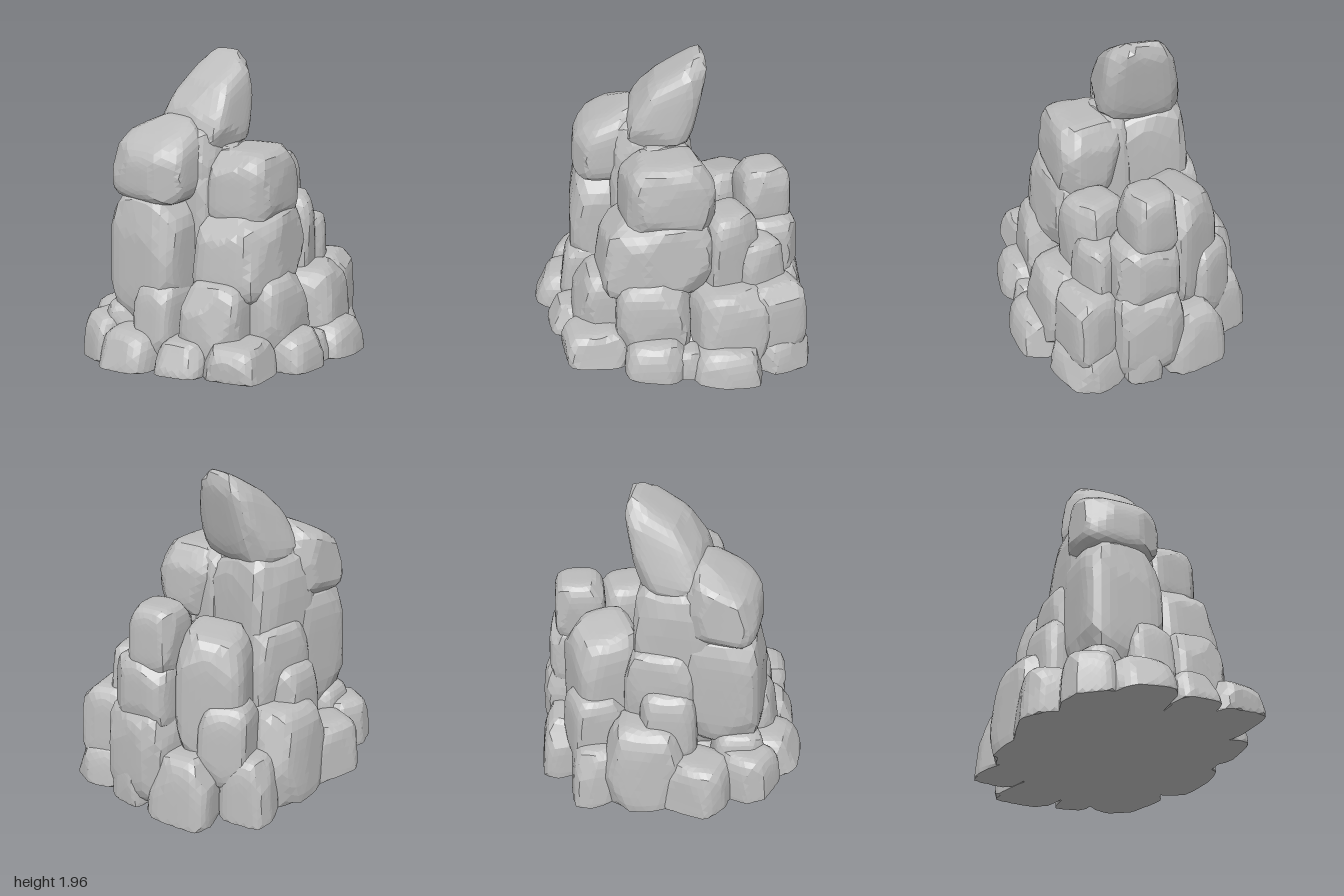
import * as THREE from 'three';

const stone = new THREE.MeshStandardMaterial({ color: 0xbcbcbc, flatShading: true });
stone.name = 'grey stone';

// Small seeded random generator
function seeded(seed) {
  let s = seed * 7919 + 13;
  return () => {
    s = (s * 16807) % 2147483647;
    return s / 2147483647;
  };
}

// Tilted plane on which the whole pile is cut off
const ground = (x, z) => 0.139 + 0.088 * x + 0.125 * z;

// A chiselled boulder filling the box x0..x1, y0..y1, z0..z1.
// taper / taperX narrow the top, leanX / leanZ shift it, slopeX / slopeZ tilt its
// top face, turn rotates its corners within the box.
function rock(name, seed, [x0, x1, y0, y1, z0, z1], opts = {}) {
  const { taper = 0.1, taperX = taper, leanX = 0, leanZ = 0, slopeX = 0, slopeZ = 0, square = 4.5, turn = 0 } = opts;
  const rand = seeded(seed);
  for (let i = 0; i < 5; i++) rand();
  const geo = new THREE.IcosahedronGeometry(1, 6);
  const pos = geo.attributes.position;
  const v = new THREE.Vector3();

  // Random cutting planes
  const cuts = [];
  for (let i = 0; i < 16; i++) {
    const n = new THREE.Vector3(rand() * 2 - 1, rand() * 1.1 - 0.55, rand() * 2 - 1).normalize();
    const q = square / (square - 1);
    const reach = (Math.abs(n.x) ** q + Math.abs(n.y) ** q + Math.abs(n.z) ** q) ** (1 / q);
    n.applyAxisAngle(THREE.Object3D.DEFAULT_UP, turn);
    cuts.push({ n, d: reach * (0.87 + rand() * 0.1) });
  }

  // Rounded block, then chisel it
  for (let i = 0; i < pos.count; i++) {
    v.fromBufferAttribute(pos, i);
    const r = (Math.abs(v.x) ** square + Math.abs(v.y) ** square + Math.abs(v.z) ** square) ** (1 / square);
    v.divideScalar(r);
    v.applyAxisAngle(THREE.Object3D.DEFAULT_UP, turn);
    for (const { n, d } of cuts) {
      const h = v.dot(n);
      if (h > d) v.multiplyScalar(d / h);
    }
    pos.setXYZ(i, v.x, v.y, v.z);
  }

  // Fit to the box and shape the top; below the ground fold inwards onto the cut
  geo.computeBoundingBox();
  const size = geo.boundingBox.getSize(new THREE.Vector3());
  const mid = geo.boundingBox.getCenter(new THREE.Vector3());
  const cx = (x0 + x1) / 2;
  const cz = (z0 + z1) / 2;
  for (let i = 0; i < pos.count; i++) {
    v.fromBufferAttribute(pos, i).sub(mid).divide(size).multiplyScalar(2);
    const t = (v.y + 1) / 2;
    let x = cx + (v.x * (1 - taperX * t) * (x1 - x0)) / 2 + leanX * t;
    let z = cz + (v.z * (1 - taper * t) * (z1 - z0)) / 2 + leanZ * t;
    const y = y0 + (y1 - y0) * t + (slopeX * v.x + slopeZ * v.z) * t;
    const fold = Math.max(0.1, 1 - 1.3 * Math.max(0, ground(x, z) - y));
    x = cx + (x - cx) * fold;
    z = cz + (z - cz) * fold;
    pos.setXYZ(i, x, Math.max(y, ground(x, z)), z);
  }
  geo.computeVertexNormals();
  const mesh = new THREE.Mesh(geo, stone);
  mesh.name = name;
  return mesh;
}

// Tall pinnacle and the columns beneath it
const pinnacle = [
  ['peak', [-0.42, 0.13, 1.39, 1.89, -0.12, 0.31],
    { taper: 0, taperX: 0.36, leanX: 0.04, leanZ: -0.13, slopeZ: -0.13, square: 4.5 }],
  ['frontColumnTop', [-0.47, 0.04, 1.15, 1.58, 0.14, 0.58], { taper: 0.08, slopeZ: -0.1, square: 3.8 }],
  ['frontColumn', [-0.46, 0.03, 0.42, 1.23, 0.12, 0.62], { taper: 0.03, leanZ: -0.02, square: 5 }],
  ['rearColumn', [-0.45, 0.12, 0.3, 1.5, -0.16, 0.36], { taper: 0.05, square: 6 }],
  ['rearColumnCap', [-0.4, 0.1, 1.1, 1.58, -0.1, 0.35], {}],
  ['innerColumn', [-0.1, 0.2, 0.5, 1.47, -0.18, 0.25], {}],
];

// Stepped blocks on the model's left
const steps = [
  ['upperStep', [-0.02, 0.44, 1.0, 1.46, -0.27, 0.32], { taper: 0.1, turn: 0.2, leanX: -0.01 }],
  ['middleStep', [-0.02, 0.51, 0.6, 1.12, -0.24, 0.48], { taper: 0.12, leanX: -0.01, leanZ: -0.04, turn: 0.15 }],
  ['lowerStepFront', [0.02, 0.44, 0.25, 0.75, 0.15, 0.63], { leanZ: -0.03, turn: 0.15 }],
  ['lowerStepSide', [0.15, 0.6, 0.25, 0.77, -0.12, 0.35], { leanX: -0.03 }],
  ['lowerStepRear', [0.22, 0.64, 0.15, 0.68, -0.6, -0.08], { leanX: -0.04, turn: 0.3 }],
  ['frontShoulder', [-0.24, 0.06, 0.25, 0.72, 0.35, 0.7], { leanZ: -0.04, taper: 0.14 }],
  ['frontCornerShoulder', [-0.52, -0.18, 0.2, 0.54, 0.3, 0.68], { taper: 0.2, turn: 0.3 }],
];

// Blocks stacked at the back and on the model's right
const rear = [
  ['rearBlockTall', [-0.53, -0.03, 0.3, 1.11, -0.62, -0.08], { slopeX: 0.05, taper: 0.08, turn: 0.6, square: 5 }],
  ['rearBlockTop', [-0.21, 0.13, 0.85, 1.26, -0.74, -0.38], { taper: 0.1, turn: 0.3 }],
  ['rearBlockMiddle', [-0.22, 0.22, 0.5, 0.96, -0.79, -0.36], { turn: 0.2 }],
  ['rearBlockLow', [-0.24, 0.24, 0.05, 0.67, -0.83, -0.36], { taper: 0.06, turn: 0.1 }],
  ['rearBlockSide', [0.0, 0.43, 0.5, 1.11, -0.54, -0.12], { taper: 0.12, turn: 0.5 }],
  ['rearSideLow', [0.12, 0.53, 0.15, 0.67, -0.83, -0.35], { taper: 0.12, turn: 0.4 }],
  ['rearSideMiddle', [0.08, 0.4, 0.45, 0.92, -0.7, -0.3], { taper: 0.15, turn: 0.5 }],
  ['rightShoulder', [-0.61, -0.2, 0.25, 0.84, -0.12, 0.27], { taper: 0.12, turn: 0.15 }],
  ['rightUpperShoulder', [-0.51, -0.2, 0.5, 1.08, -0.2, 0.25], { taper: 0.08 }],
  ['rightRearShoulder', [-0.62, -0.22, 0.2, 0.72, -0.6, -0.15], { taper: 0.15, turn: 0.6 }],
  ['rightLowBlock', [-0.76, -0.32, -0.05, 0.64, -0.31, 0.23], { taper: 0.14, leanX: 0.03, turn: 0.1, square: 4 }],
];

// Ring of boulders around the foot
const foot = [
  ['footFront', [-0.4, 0.01, -0.05, 0.44, 0.4, 0.9], { taper: 0.14, leanZ: -0.05, square: 3.8 }],
  ['footFrontRight', [-0.62, -0.26, -0.1, 0.46, 0.36, 0.79], { taper: 0.14, leanZ: -0.02, turn: -0.35 }],
  ['footRightFront', [-0.77, -0.38, -0.15, 0.44, 0.06, 0.52], { taper: 0.12, leanX: 0.02, turn: -0.2 }],
  ['footRightRear', [-0.76, -0.38, -0.2, 0.42, -0.53, -0.16], { taper: 0.15, leanX: 0.03, turn: 0.4 }],
  ['footRearRight', [-0.54, -0.04, -0.2, 0.42, -0.82, -0.38], { taper: 0.15, leanZ: 0.03, turn: 0.35 }],
  ['footRear', [0.06, 0.59, -0.15, 0.34, -0.9, -0.38], { taper: 0.18, leanZ: 0.03, turn: 0.5, square: 3.5 }],
  ['footRearLeft', [0.36, 0.78, -0.1, 0.38, -0.57, -0.04], { taper: 0.2, leanX: -0.03, turn: 0.25, square: 3.5 }],
  ['footLeft', [0.36, 0.76, -0.1, 0.43, -0.1, 0.31], { taper: 0.14, leanX: -0.03 }],
  ['footFrontLeft', [0.24, 0.66, -0.05, 0.45, 0.24, 0.69], { taper: 0.12, leanX: -0.02, turn: 0.2 }],
  ['footFrontMiddle', [-0.03, 0.31, -0.05, 0.43, 0.4, 0.8], { taper: 0.14, leanZ: -0.03, turn: 0.15 }],
  ['footRearPebble', [-0.1, 0.16, -0.1, 0.34, -0.84, -0.5], { taper: 0.15 }],
  ['footLeftPebble', [0.45, 0.68, -0.05, 0.36, -0.2, 0.05], { taper: 0.2 }],
  ['footCore', [-0.66, 0.64, -0.4, 0.48, -0.7, 0.68], { taper: 0.15, square: 2.6 }],
];

export function createModel() {
  const model = new THREE.Group();
  model.name = 'rockPile';
  let seed = 1;
  for (const [name, list] of Object.entries({ pinnacle, steps, rear, foot })) {
    const group = new THREE.Group();
    group.name = name;
    for (const [part, box, opts] of list) group.add(rock(part, seed++, box, opts));
    model.add(group);
  }
  return model;
}
